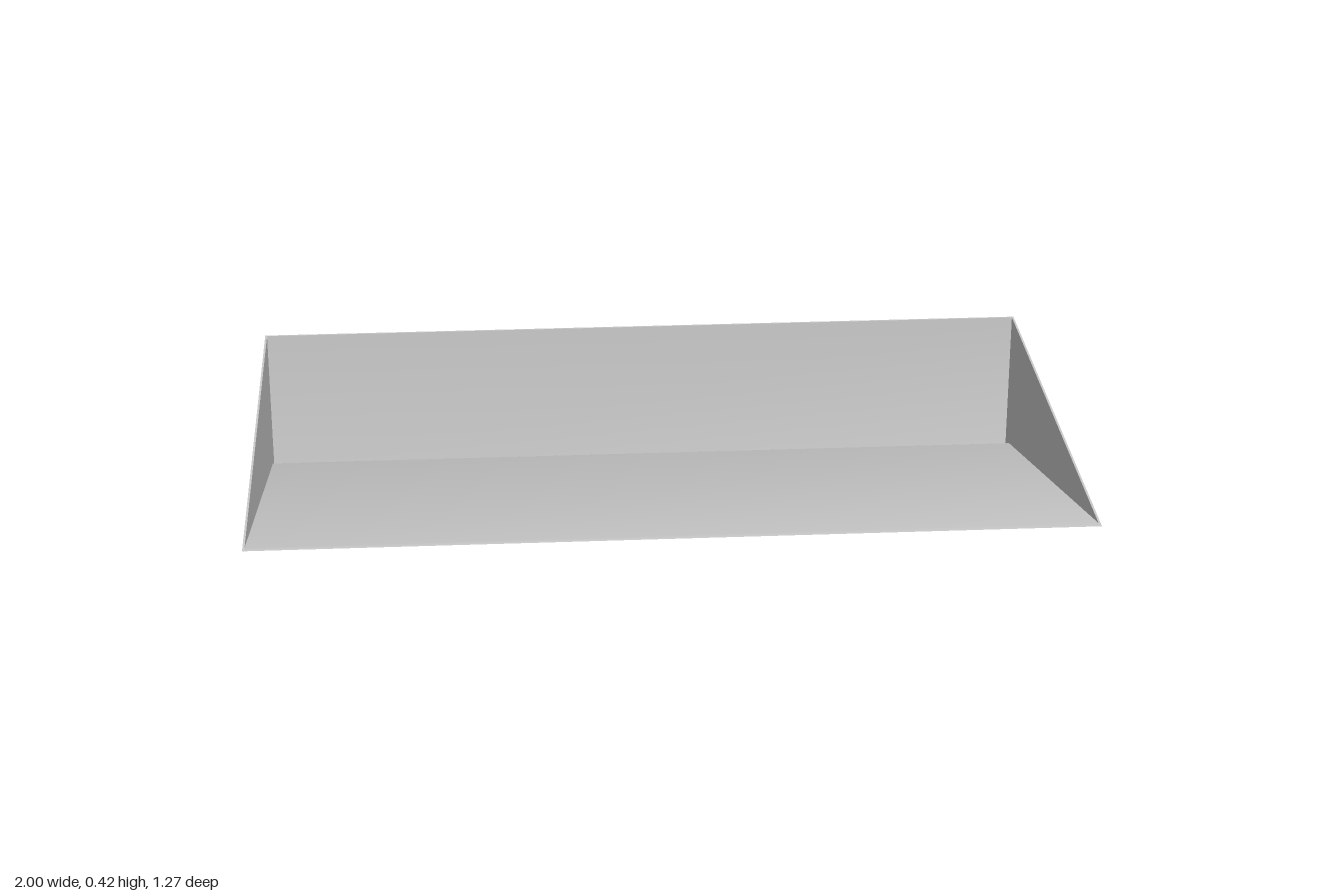
import * as THREE from 'three';
import { toCreasedNormals } from 'three/addons/utils/BufferGeometryUtils.js';

const T = 0.005;            // sheet thickness
const TOP = 0.42, D = 0.637; // rim height, half depth

// Extrude a side profile (u = -z, y) across x, from x0 to x1
function sheet(name, shape, x0, x1, material) {
  let g = new THREE.ExtrudeGeometry(shape, { depth: x1 - x0, bevelEnabled: false, curveSegments: 6 });
  g.translate(0, 0, x0);
  g.rotateY(Math.PI / 2);
  g = toCreasedNormals(g, 0.6);
  const mesh = new THREE.Mesh(g, material);
  mesh.name = name;
  return mesh;
}

// Outside of the bent sheet: sloping floor, gutter, back wall
function traceOuter(s) {
  s.moveTo(-D, TOP);
  s.lineTo(0.575, 0.068);
  s.quadraticCurveTo(0.589, 0.064, 0.589, 0.05);
  s.lineTo(0.589, 0.015);
  s.quadraticCurveTo(0.589, 0, 0.603, 0);
  s.lineTo(0.623, 0);
  s.quadraticCurveTo(D, 0, D, 0.015);
  s.lineTo(D, TOP);
}

export function createModel() {
  const group = new THREE.Group();
  const material = new THREE.MeshStandardMaterial({ color: 0xcccccc, side: THREE.DoubleSide });

  // Floor, gutter and back wall bent from one sheet
  const tray = new THREE.Shape();
  traceOuter(tray);
  tray.lineTo(D - T, TOP);
  tray.lineTo(D - T, 0.015);
  tray.quadraticCurveTo(D - T, T, 0.623, T);
  tray.lineTo(0.603, T);
  tray.quadraticCurveTo(0.589 + T, T, 0.589 + T, 0.015);
  tray.lineTo(0.589 + T, 0.055);
  tray.quadraticCurveTo(0.589 + T, 0.067, 0.577, 0.068 + T);
  tray.lineTo(-D + 0.017, TOP);
  tray.closePath();
  group.add(sheet('floorGutterAndBack', tray, -1 + T, 1 - T, material));

  // Tapered side walls, which also close the gutter ends
  const side = new THREE.Shape();
  traceOuter(side);
  side.closePath();
  group.add(sheet('leftWall', side, 1 - T, 1, material));
  group.add(sheet('rightWall', side, -1, -1 + T, material));

  return group;
}
